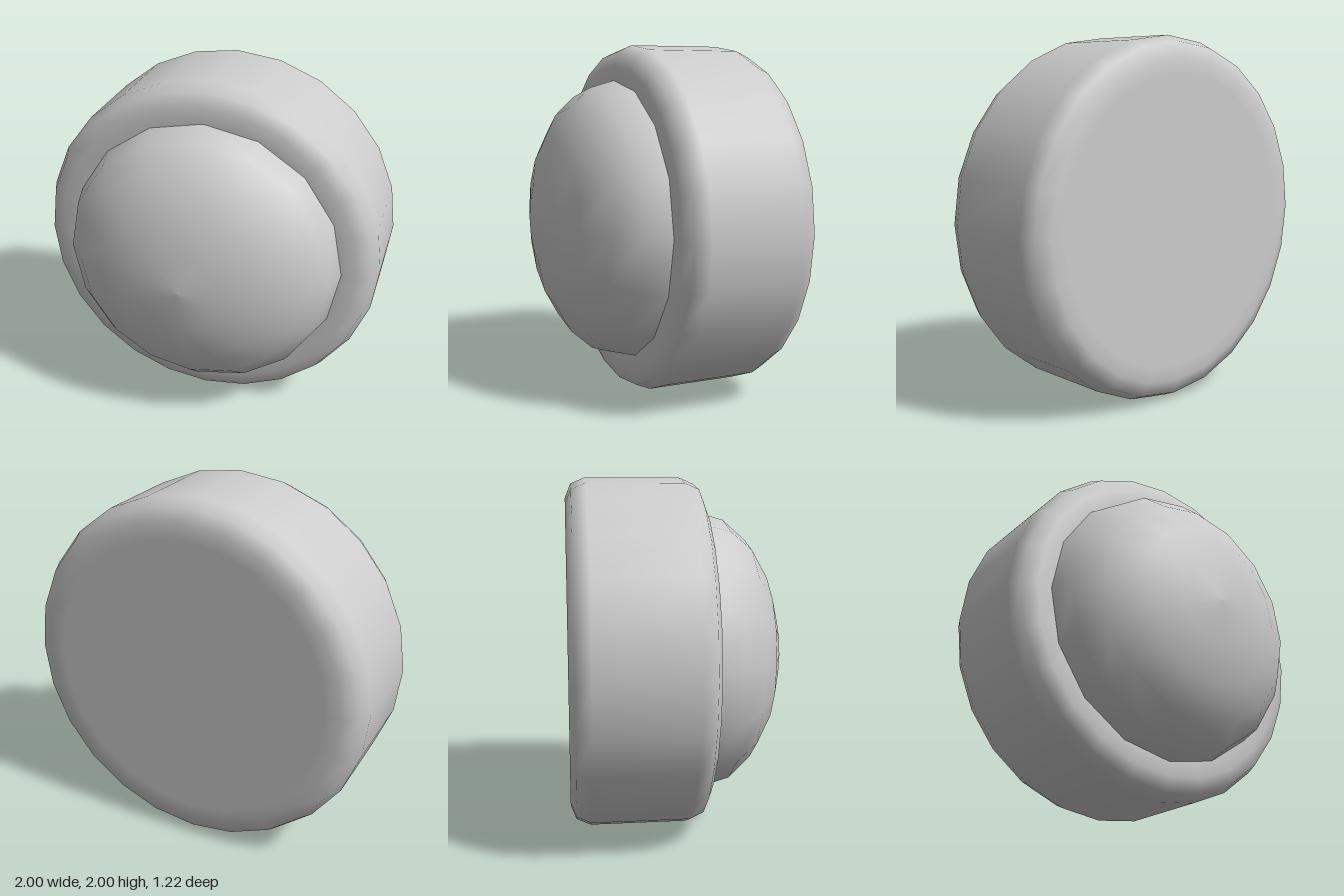
import * as THREE from 'three';

// Revolve a [radius, z] profile, listed back to front, around the z axis
function revolve(name, profile, sides, material) {
  const points = profile.map(([r, z]) => new THREE.Vector2(r, z));
  const geometry = new THREE.LatheGeometry(points, sides).rotateX(Math.PI / 2);
  const mesh = new THREE.Mesh(geometry, material);
  mesh.name = name;
  mesh.position.y = 1;
  return mesh;
}

export function createModel() {
  const group = new THREE.Group();
  group.name = 'domedButton';
  const grey = new THREE.MeshStandardMaterial({ color: 0xcccccc });
  grey.name = 'light grey';

  // Thick round housing with softened edges; inner rings keep both faces flat
  group.add(revolve('housing', [
    [0, -0.612], [0.8, -0.612], [0.885, -0.612], [0.965, -0.58], [1, -0.5],
    [1, 0.04], [0.965, 0.12], [0.885, 0.152], [0.8, 0.152], [0, 0.152],
  ], 24, grey));

  // Flattened dome on the front face
  const dome = [];
  for (let i = 0; i <= 5; i++) {
    const a = (i / 5) * Math.PI / 2;
    dome.push([i === 5 ? 0 : 0.8 * Math.cos(a), 0.152 + 0.46 * Math.sin(a)]);
  }
  group.add(revolve('dome', dome, 16, grey));

  return group;
}
